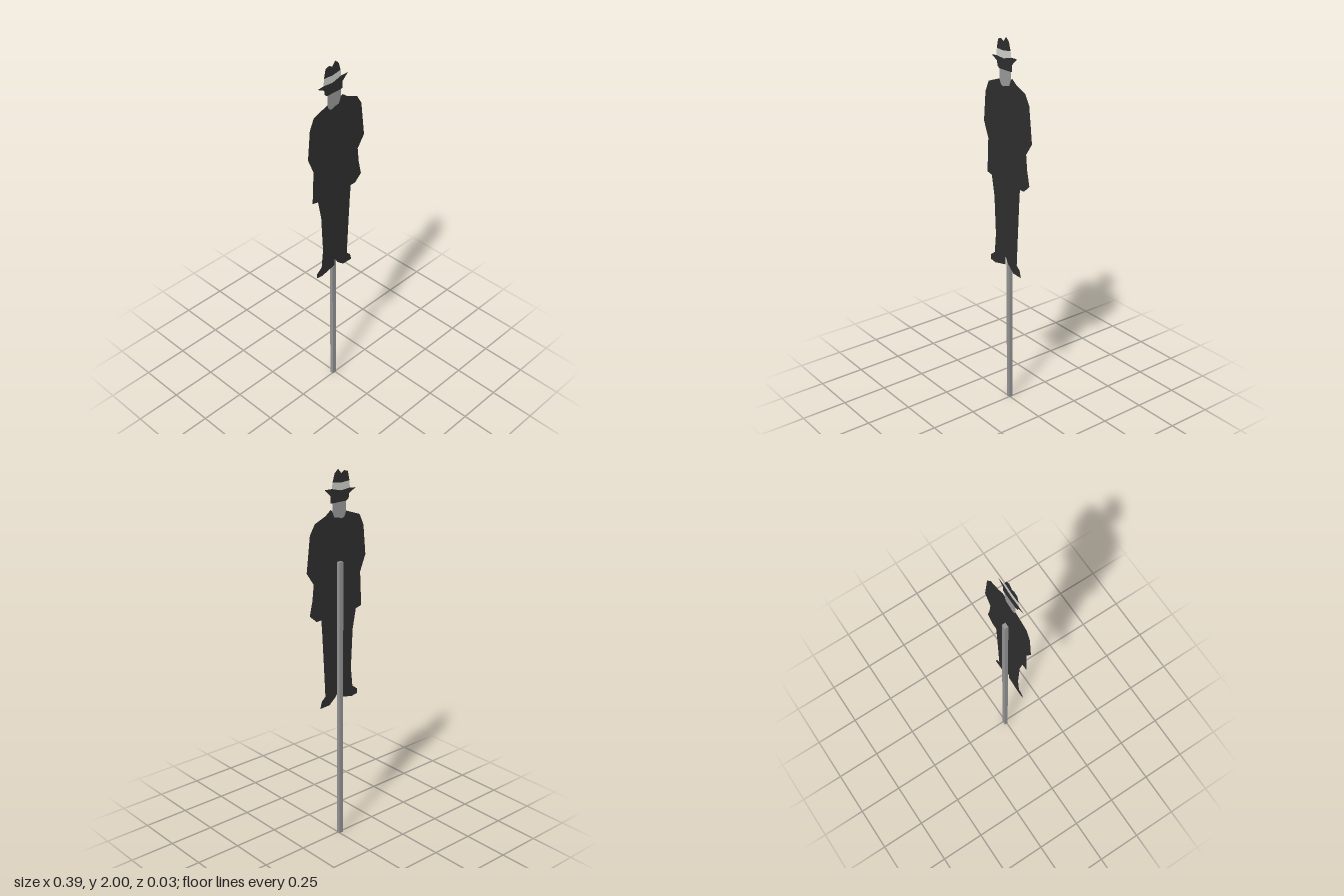
import * as THREE from 'three';

const flat = (name, color) => new THREE.MeshStandardMaterial({ name, color, side: THREE.DoubleSide });

export function createModel() {
  const charcoal = flat('charcoal', 0x2e2e2e);
  const skinGrey = flat('skinGrey', 0x999999);
  const paleBand = flat('paleBand', 0xcfcfca);
  const metal = new THREE.MeshStandardMaterial({ name: 'poleGrey', color: 0x949494 });

  const group = new THREE.Group();
  group.name = 'cutoutOnPole';
  const FIGURE_Z = 0.014;

  // Flat cutout piece from an outline of x, y pairs
  const piece = (name, material, outline) => {
    const shape = new THREE.Shape(outline.map(([x, y]) => new THREE.Vector2(x, y)));
    const mesh = new THREE.Mesh(new THREE.ShapeGeometry(shape), material);
    mesh.name = name;
    mesh.position.z = FIGURE_Z;
    group.add(mesh);
  };

  // Hat: crown, band, then brim with the shaded upper head
  piece('hatCrown', charcoal, [
    [-0.085, 1.934], [-0.074, 1.981], [-0.05, 1.988], [-0.032, 1.976], [-0.011, 2],
    [0.011, 1.981], [0.024, 1.939], [-0.03, 1.93],
  ]);
  piece('hatBand', paleBand, [
    [-0.085, 1.934], [-0.03, 1.93], [0.024, 1.939], [0.029, 1.907], [-0.03, 1.892], [-0.088, 1.897],
  ]);
  piece('hatBrimAndHead', charcoal, [
    [-0.126, 1.893], [-0.088, 1.897], [-0.03, 1.892], [0.029, 1.907], [0.074, 1.908],
    [0.037, 1.874], [0.037, 1.838], [0.026, 1.836], [-0.064, 1.836], [-0.08, 1.846], [-0.084, 1.872],
  ]);

  // Lower face and throat
  piece('face', skinGrey, [
    [-0.064, 1.836], [0.026, 1.836], [0.026, 1.797], [0.014, 1.765],
    [-0.02, 1.758], [-0.035, 1.752], [-0.053, 1.758], [-0.064, 1.786],
  ]);

  // Coat, arms, trousers and shoes in one silhouette
  piece('suit', charcoal, [
    [-0.064, 1.786], [-0.053, 1.758], [-0.035, 1.752], [-0.02, 1.758], [0.014, 1.765], [0.026, 1.797],
    [0.037, 1.805], [0.072, 1.779], [0.138, 1.752], [0.169, 1.702], [0.192, 1.514], [0.148, 1.45],
    [0.157, 1.367], [0.175, 1.29], [0.132, 1.252], [0.1, 1.252], [0.095, 1.18], [0.085, 1],
    [0.076, 0.828], [0.1, 0.808], [0.111, 0.769], [0.048, 0.772], [0.005, 0.808], [-0.017, 0.845],
    [-0.017, 0.8], [-0.106, 0.78], [-0.145, 0.786], [-0.145, 0.812], [-0.111, 0.838],
    [-0.1, 0.944], [-0.111, 1.157], [-0.132, 1.264], [-0.169, 1.273], [-0.16, 1.455],
    [-0.195, 1.54], [-0.18, 1.697], [-0.153, 1.755],
  ]);

  // Supporting pole behind the figure
  const pole = new THREE.Mesh(new THREE.BoxGeometry(0.025, 1.54, 0.02), metal);
  pole.name = 'pole';
  pole.position.set(-0.008, 0.77, -0.005);
  group.add(pole);

  return group;
}
